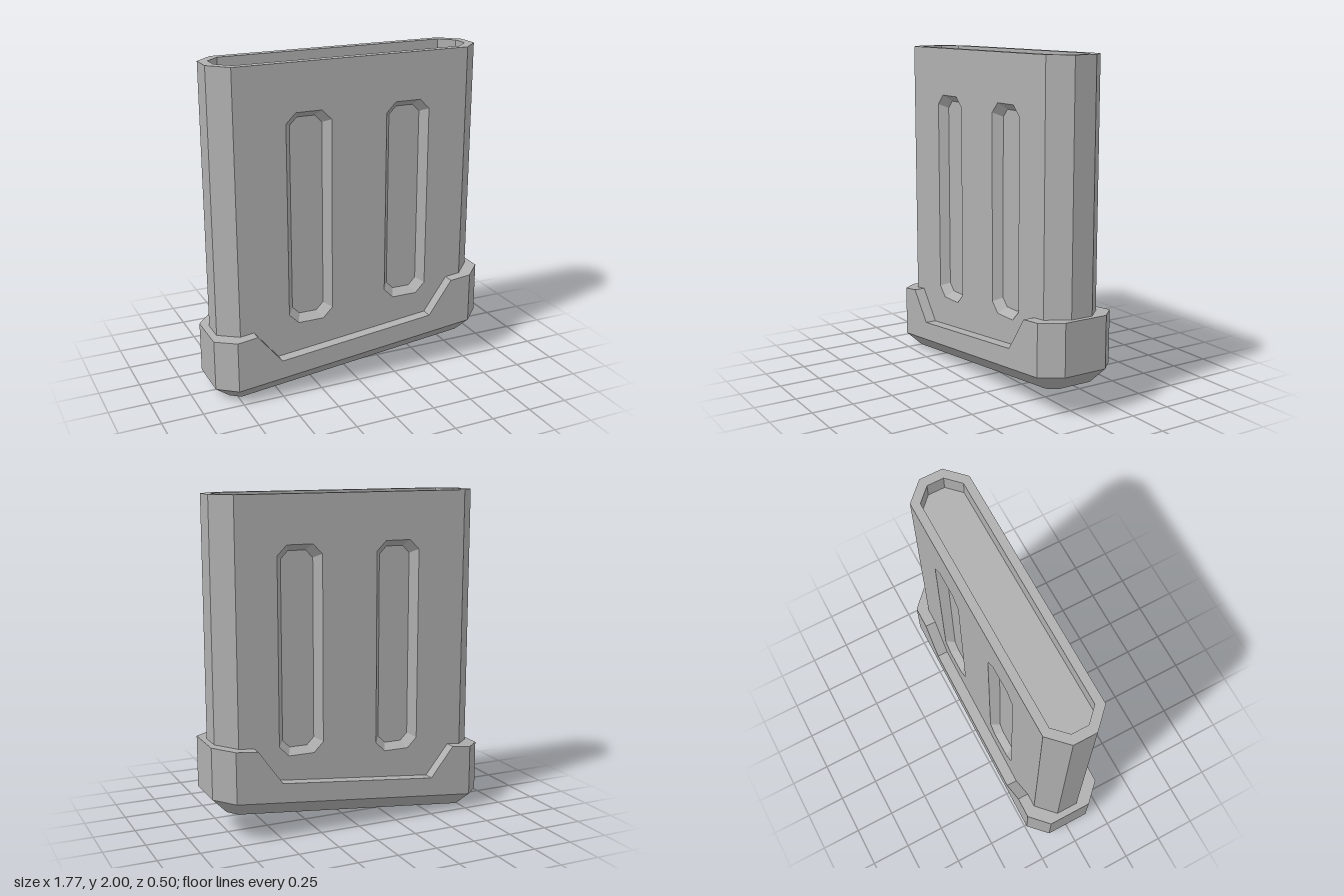
import * as THREE from 'three';

// Chamfered rectangle, counter-clockwise, with optional extra points along both long sides
function octagon(hu, hv, c, extra = []) {
  return [
    [hu, c - hv], [hu, hv - c], [hu - c, hv],
    ...[...extra].reverse().map((u) => [u, hv]),
    [c - hu, hv], [-hu, hv - c], [-hu, c - hv], [c - hu, -hv],
    ...extra.map((u) => [u, -hv]),
    [hu - c, -hv],
  ];
}

// Lay an outline flat, with height given as a function of x
const flat = (outline, height) => outline.map(([u, v]) => [u, height(u), -v]);

// Skin consecutive rings, optionally closing the first and last
function loft(rings, { capStart, capEnd, skip = () => false } = {}) {
  const pos = [];
  const tri = (a, b, c) => pos.push(...a, ...b, ...c);
  const n = rings[0].length;
  for (let i = 0; i + 1 < rings.length; i++) {
    for (let j = 0; j < n; j++) {
      if (skip(i, j)) continue;
      const k = (j + 1) % n, a = rings[i], b = rings[i + 1];
      tri(a[j], a[k], b[k]);
      tri(a[j], b[k], b[j]);
    }
  }
  const cap = (r, up) => {
    const mid = [0, 1, 2].map((d) => r.reduce((s, p) => s + p[d], 0) / n);
    r.forEach((p, j) => {
      const q = r[(j + 1) % n];
      if (up) tri(mid, p, q);
      else tri(mid, q, p);
    });
  };
  if (capStart) cap(rings[0], false);
  if (capEnd) cap(rings[rings.length - 1], true);
  const g = new THREE.BufferGeometry();
  g.setAttribute('position', new THREE.Float32BufferAttribute(pos, 3));
  g.computeVertexNormals();
  return g;
}

// Piecewise-linear height of the collar's top edge
const COLLAR = [[-0.885, 0.39], [-0.65, 0.42], [-0.5, 0.235], [0.49, 0.34], [0.64, 0.55], [0.885, 0.575]];
function collarTop(x) {
  for (let i = 1; i < COLLAR.length; i++) {
    const [x0, y0] = COLLAR[i - 1], [x1, y1] = COLLAR[i];
    if (x <= x1 || i === COLLAR.length - 1) return y0 + ((x - x0) / (x1 - x0)) * (y1 - y0);
  }
}

export function createModel() {
  const model = new THREE.Group();
  const grey = new THREE.MeshStandardMaterial({ color: 0xb0b0b0 });
  grey.name = 'grey';
  const add = (parent, name, geometry) => {
    const mesh = new THREE.Mesh(geometry, grey);
    mesh.name = name;
    parent.add(mesh);
    return mesh;
  };

  // Body shell: chamfered ends, rim and the shallow well in the top
  const bodyFoot = (x) => 0.2 + 0.1 * x;
  const outer = octagon(0.845, 0.18, 0.11);
  const inner = octagon(0.79, 0.13, 0.08);
  add(model, 'bodyShell', loft([
    flat(outer, bodyFoot), flat(outer, () => 2), flat(inner, () => 2), flat(inner, () => 1.9),
  ], { capEnd: true, skip: (i, j) => i === 0 && (j === 2 || j === 6) }));

  // Broad faces, each with two recessed slots
  const slots = [[-0.285, 0.43, 1.715], [0.345, 0.48, 1.715]];
  for (const side of [1, -1]) {
    const panel = new THREE.Group();
    panel.name = side > 0 ? 'frontFace' : 'backFace';
    if (side < 0) panel.rotation.y = Math.PI;
    const w = 0.735;
    const shape = new THREE.Shape([
      [-w, bodyFoot(-w * side)], [w, bodyFoot(w * side)], [w, 2], [-w, 2],
    ].map((p) => new THREE.Vector2(...p)));
    for (const [x, y0, y1] of slots) {
      const cx = x * side, cy = (y0 + y1) / 2, hy = (y1 - y0) / 2;
      const place = (o, z) => o.map(([u, v]) => [cx + u, cy + v, z]);
      const rim = place(octagon(0.14, hy, 0.06), 0.18);
      const floor = place(octagon(0.1, hy - 0.038, 0.045), 0.13);
      shape.holes.push(new THREE.Path(rim.map(([a, b]) => new THREE.Vector2(a, b))));
      add(panel, 'slot', loft([rim, floor], { capEnd: true }));
    }
    const sheet = new THREE.ShapeGeometry(shape);
    sheet.translate(0, 0, 0.18);
    add(panel, 'facePlate', sheet);
    model.add(panel);
  }

  // Slanted base with a bevelled underside and notched collar
  const notch = COLLAR.slice(1, -1).map((p) => p[0]);
  const wide = octagon(0.885, 0.248, 0.11, notch);
  add(model, 'base', loft([
    flat(octagon(0.79, 0.16, 0.055, notch), (x) => 0.083 + 0.104 * x),
    flat(wide, (x) => 0.172 + 0.104 * x),
    flat(wide, collarTop),
    flat(octagon(0.845, 0.18, 0.11, notch), collarTop),
  ], { capStart: true }));

  return model;
}
